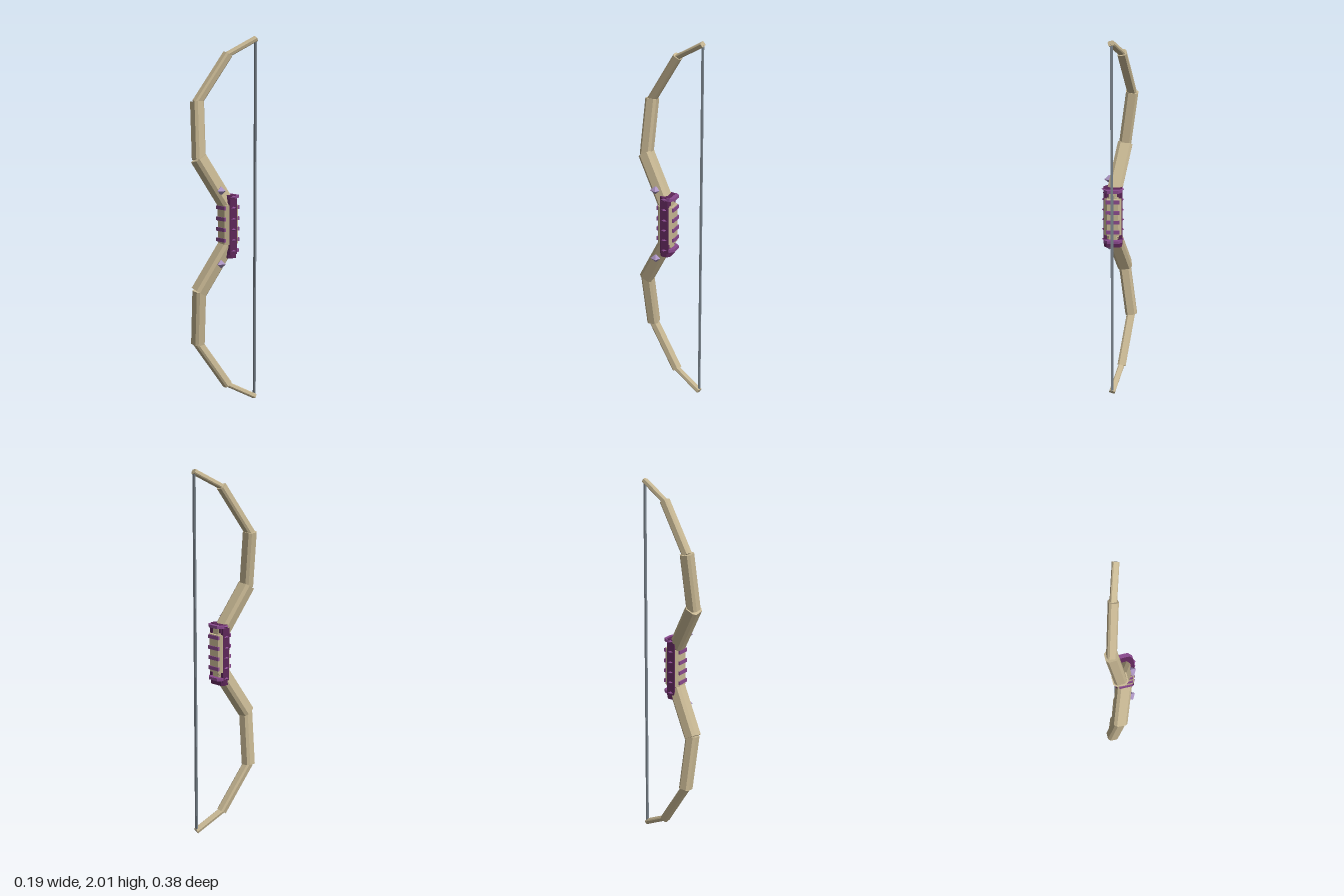
import * as THREE from 'three';

const mat = (name, color) => {
  const m = new THREE.MeshStandardMaterial({ color });
  m.name = name;
  m.flatShading = true;
  return m;
};

// Prism along y with chamfered corners, centred on its own origin
function chamferedPrism(w, d, h, chamfer = 0.2) {
  const c = Math.min(w, d) * chamfer, x = w / 2, z = d / 2;
  const pts = [[x - c, -z], [x, c - z], [x, z - c], [x - c, z], [c - x, z], [-x, z - c], [-x, c - z], [c - x, -z]];
  const shape = new THREE.Shape(pts.map(([a, b]) => new THREE.Vector2(a, b)));
  const g = new THREE.ExtrudeGeometry(shape, { depth: h, bevelEnabled: false });
  return g.translate(0, 0, -h / 2).rotateX(-Math.PI / 2);
}

export function createModel() {
  const bow = new THREE.Group();
  bow.name = 'bow';
  const wood = mat('pale wood', 0xc6b692);
  const wrap = mat('purple wrap', 0x8a4a8e);
  const dark = mat('dark purple', 0x5c2658);
  const gem = mat('lavender crystal', 0xab94c2);
  const cord = mat('grey cord', 0x7d8790);

  const add = (name, geometry, material, x, y, z) => {
    const m = new THREE.Mesh(geometry, material);
    m.name = name;
    m.position.set(x, y, z);
    bow.add(m);
    return m;
  };

  const cx = 0.035, cz = 0.007, mid = 0.997;

  // Limbs: joint heights are measured from the middle of the bow
  const joints = [
    [0.035, 0.105, 0.012], [-0.025, 0.357, 0.155], [-0.063, 0.653, 0.137],
    [-0.014, 0.903, -0.028], [0.034, 0.988, -0.182],
  ];
  const sizes = [[0.08, 0.075], [0.065, 0.063], [0.047, 0.045], [0.033, 0.025]];
  const up = new THREE.Vector3(0, 1, 0);
  for (const s of [1, -1]) {
    const prefix = s > 0 ? 'upper' : 'lower';
    const pts = joints.map(([x, y, z]) => new THREE.Vector3(x, mid + s * y, z));
    sizes.forEach(([w, d], i) => {
      const dir = pts[i + 1].clone().sub(pts[i]);
      const c = pts[i].clone().add(pts[i + 1]).multiplyScalar(0.5);
      const seg = add(`${prefix}Limb${i + 1}`, chamferedPrism(w, d, dir.length() + 0.008), wood, c.x, c.y, c.z);
      // Tilt measured from the upward axis so both limbs keep the same section
      seg.quaternion.setFromUnitVectors(up, dir.normalize().multiplyScalar(s));
    });

    // Crystal beside the grip
    const crystal = add(`${prefix}Crystal`, new THREE.OctahedronGeometry(0.03), gem, 0.056, 0.988 + s * 0.197, 0.069);
    crystal.rotation.y = 0.3;
    crystal.scale.y = 0.8;

    // Dark cap and the purple collar around it at each end of the grip
    add(`${prefix}Cap`, chamferedPrism(0.1, 0.058, 0.046, 0.25), dark, cx, 0.99 + s * 0.147, cz);
    add(`${prefix}Collar`, chamferedPrism(0.1, 0.078, 0.016, 0.25), wrap, cx, 1.004 + s * 0.146, -0.006);
  }

  // Grip
  add('grip', chamferedPrism(0.096, 0.09, 0.21), wood, cx, 1, cz);
  add('gripCore', chamferedPrism(0.066, 0.06, 0.3), wood, cx, 1, cz);

  // Side rails, with a flat pointed stud at each band
  const bandHeights = [0.917, 0.974, 1.031, 1.091];
  for (const s of [1, -1]) {
    const side = s > 0 ? 'left' : 'right';
    add(`${side}Rail`, chamferedPrism(0.02, 0.05, 0.3, 0.15), dark, cx + s * 0.041, 0.99, cz);
    [0.858, ...bandHeights, 1.15].forEach((y, i) => {
      const stud = new THREE.ConeGeometry(0.02, 0.012, 4).rotateZ(-s * Math.PI / 2).scale(1, 0.45, 1);
      add(`${side}Stud${i + 1}`, stud, wrap, cx + s * 0.055, y, cz);
    });
  }

  // Bands across the front and back faces of the grip
  bandHeights.forEach((y, i) => {
    for (const s of [1, -1]) {
      add(`${s > 0 ? 'front' : 'back'}Band${i + 1}`, new THREE.BoxGeometry(0.074, 0.02, 0.009), wrap, cx, y, cz + s * 0.046);
    }
  });

  // String
  add('string', new THREE.BoxGeometry(0.014, 1.97, 0.01), cord, 0.033, mid, -0.184);

  return bow;
}
